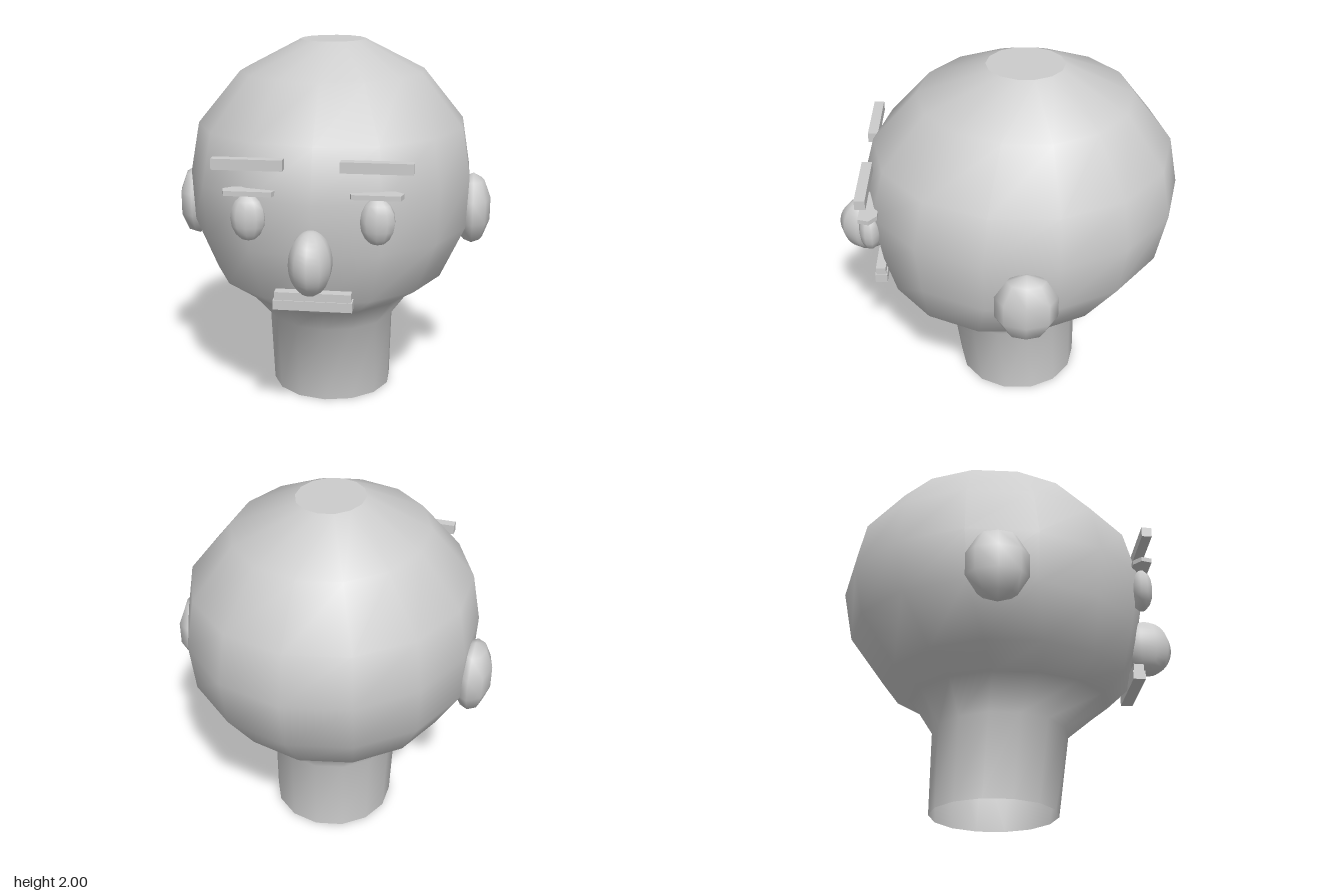
import * as THREE from 'three';

export function createModel() {
  const group = new THREE.Group();
  const grey = new THREE.MeshStandardMaterial({ color: 0xcccccc });
  const greyOpen = grey.clone();
  greyOpen.side = THREE.DoubleSide;
  greyOpen.name = 'greyOpen';
  grey.name = 'grey';

  const add = (name, geometry, x, y, z, material = grey) => {
    const mesh = new THREE.Mesh(geometry, material);
    mesh.name = name;
    mesh.position.set(x, y, z);
    group.add(mesh);
    return mesh;
  };
  const ellipsoid = (rx, ry, rz, w, h) => {
    // pole axis is vertical, with vertices on the z axis
    const g = new THREE.SphereGeometry(1, w, h, Math.PI / 2);
    return g.scale(rx, ry, rz);
  };

  // Head and neck: 14-sided rings of [y, half width, front z, back z]
  const sides = 14;
  const rings = [
    [0, 0.335, 0.27, -0.42],
    [0.45, 0.348, 0.33, -0.415],
    [0.63, 0.46, 0.55, -0.53],
    [0.73, 0.625, 0.67, -0.69],
    [1.0, 0.757, 0.735, -0.885],
    [1.28, 0.77, 0.78, -0.94],
    [1.55, 0.725, 0.705, -0.885],
    [1.83, 0.5, 0.46, -0.67],
    [2, 0.175, 0.1, -0.31],
  ];
  const ringPoint = ([y, w, front, back], i) => {
    const a = (i / sides) * Math.PI * 2;
    return [
      Math.sin(a) * w / 0.975, y,
      (front + back) / 2 + Math.cos(a) * (front - back) / 2,
    ];
  };
  const positions = [], index = [];
  rings.forEach((ring, r) => {
    for (let i = 0; i < sides; i++) {
      positions.push(...ringPoint(ring, i));
      if (r === rings.length - 1) continue;
      const a = r * sides + i, b = r * sides + (i + 1) % sides;
      index.push(a, b, b + sides, a, b + sides, a + sides);
    }
  });
  const head = new THREE.BufferGeometry();
  head.setAttribute('position', new THREE.Float32BufferAttribute(positions, 3));
  head.setIndex(index);
  head.computeVertexNormals();
  add('headAndNeck', head, 0, 0, 0, greyOpen);

  // Flat crown closing the top ring
  const crown = new THREE.CircleGeometry(1, sides, Math.PI / 2);
  crown.rotateX(-Math.PI / 2).scale(0.18, 1, 0.205);
  add('crown', crown, 0, 2, -0.105);

  add('nose', ellipsoid(0.11, 0.165, 0.148, 10, 18), 0, 0.99, 0.788);

  // Eyelid outline seen from above, narrowing to the back
  const lid = new THREE.Shape([
    [-0.135, -0.7], [-0.12, -0.757], [0.12, -0.757],
    [0.135, -0.7], [0.09, -0.66], [-0.09, -0.66],
  ].map(([x, y]) => new THREE.Vector2(x, y)));

  for (const [side, s] of [['left', 1], ['right', -1]]) {
    add(side + 'Ear', ellipsoid(0.105, 0.205, 0.17, 8, 5), s * 0.795, 1.06, -0.105);
    add(side + 'Eye', ellipsoid(0.09, 0.12, 0.06, 10, 8), s * 0.323, 1.193, 0.715);
    add(side + 'Eyebrow', new THREE.BoxGeometry(0.355, 0.055, 0.055), s * 0.318, 1.467, 0.727);
    const g = new THREE.ExtrudeGeometry(lid, { depth: 0.025, bevelEnabled: false });
    g.rotateX(-Math.PI / 2);
    add(side + 'Eyelid', g, s * 0.316, 1.31, 0);
  }

  // Mouth
  add('upperLip', new THREE.BoxGeometry(0.39, 0.045, 0.055), 0, 0.7875, 0.7025);
  add('lowerLip', new THREE.BoxGeometry(0.405, 0.05, 0.068), 0, 0.743, 0.702);

  return group;
}
